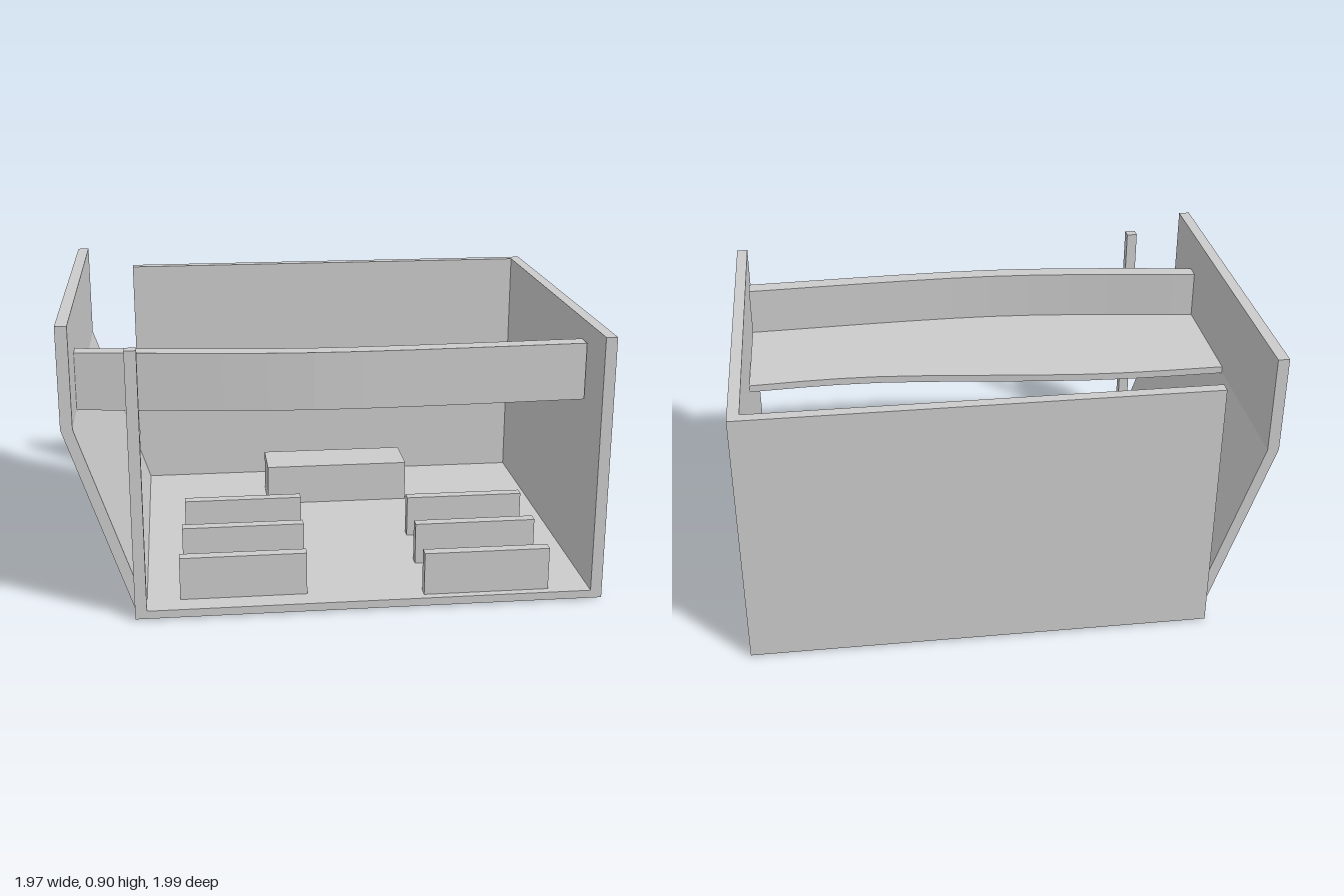
import * as THREE from 'three';

const material = new THREE.MeshStandardMaterial({ color: 0xcccccc, flatShading: true });

// Hall axes: x along the back wall, z toward the open front
export function createModel() {
  const model = new THREE.Group();
  const hall = new THREE.Group();
  hall.name = 'hall';
  hall.position.set(0.05, 0, -0.065);
  hall.rotation.y = 0.815;
  model.add(hall);

  const add = (name, geometry) => {
    const mesh = new THREE.Mesh(geometry, material);
    mesh.name = name;
    hall.add(mesh);
    return mesh;
  };
  // Box given by its lower and upper limits on each axis
  const box = (name, x0, x1, y0, y1, z0, z1) => {
    const mesh = add(name, new THREE.BoxGeometry(x1 - x0, y1 - y0, z1 - z0));
    mesh.position.set((x0 + x1) / 2, (y0 + y1) / 2, (z0 + z1) / 2);
  };
  // Smooth line through a few plan points
  const curve = (points) =>
    new THREE.SplineCurve(points.map(([x, z]) => new THREE.Vector2(x, -z))).getPoints(12);
  // Plan outline between a front and a back line, raised from y0 to y1
  const slab = (name, front, back, y0, y1) => {
    const shape = new THREE.Shape([...front, ...back.slice().reverse()]);
    const geometry = new THREE.ExtrudeGeometry(shape, { depth: y1 - y0, bevelEnabled: false });
    geometry.rotateX(-Math.PI / 2);
    geometry.translate(0, y0, 0);
    add(name, geometry);
  };

  // Floor, two full walls and the corner post
  const W = 0.715, D = 0.605, T = 0.035, H = 0.835;
  box('floor', -W, W, 0.005, 0.03, -D, D);
  box('backWall', -W, W, 0.005, H, -D, -D + T);
  box('sideWall', W - T, W, 0.005, H, -D + T, D);
  box('cornerPost', -W, -W + T, 0.005, H, D - T, D);

  // Side wall that leans outward, then rises straight
  const profile = [[-0.715, 0.03], [-0.68, 0.03], [-0.87, 0.6], [-0.87, 0.905], [-0.905, 0.905], [-0.905, 0.6]];
  const leaning = new THREE.ExtrudeGeometry(
    new THREE.Shape(profile.map(([x, y]) => new THREE.Vector2(x, y))),
    { depth: 1.153, bevelEnabled: false });
  leaning.translate(0, 0, -0.571);
  add('leaningWall', leaning);

  // Balcony with a curved parapet
  const outer = curve([[-0.873, 0.384], [-0.16, 0.46], [0.675, 0.44]]);
  const inner = curve([[-0.873, 0.331], [-0.16, 0.405], [0.675, 0.384]]);
  const rear = curve([[-0.871, -0.07], [-0.42, -0.065], [0.26, 0.005], [0.68, -0.005]]);
  slab('balconyParapet', outer, inner, 0.597, 0.775);
  slab('balconyFloor', inner, rear, 0.597, 0.62);

  // Counter near the back wall
  box('counter', -0.258, 0.237, 0, 0.168, -0.402, -0.232);

  // Two columns of three benches
  for (const [x, z] of [[-0.58, 0.5], [0.164, 0.544]]) {
    for (let row = 0; row < 3; row++) {
      const x0 = x + row * 0.012, z0 = z - row * 0.235;
      box('bench', x0, x0 + 0.388, 0.03, 0.165, z0, z0 + 0.035);
    }
  }
  return model;
}
